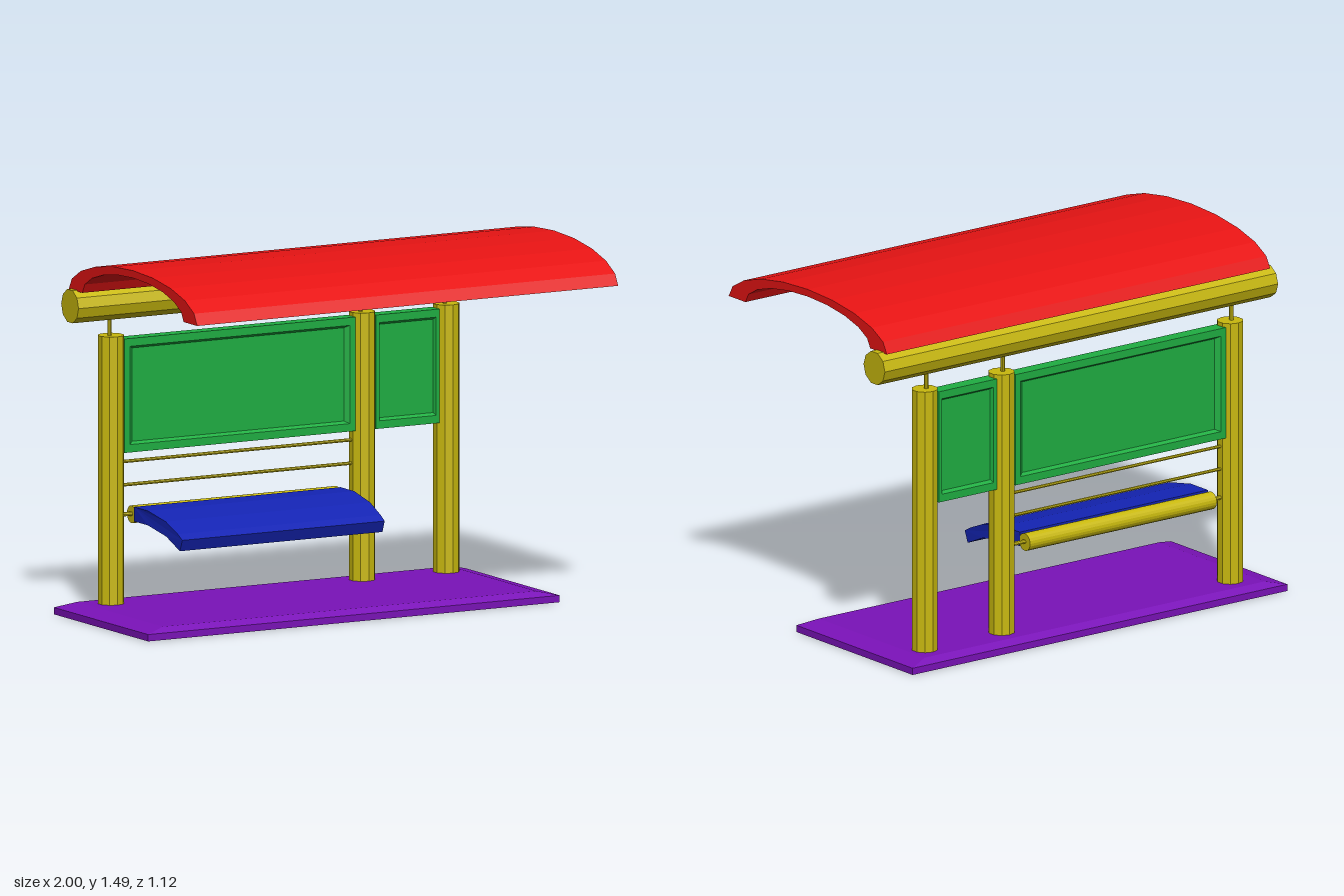
import * as THREE from 'three';

const paint = (color) => new THREE.MeshStandardMaterial({ color, flatShading: true });
const YELLOW = paint(0xc9b90e);
const RED = paint(0xe81414);
const GREEN = paint(0x1fae42);
const BLUE = paint(0x1424b4);
const PURPLE = paint(0x7a12b8);
const BACK = -0.43; // depth of the post row

// Solid through a series of rectangles [halfWidth, halfHeight, z]
function loftRects(rings) {
  const pos = [];
  const index = [];
  for (const [w, h, z] of rings) pos.push(-w, -h, z, w, -h, z, w, h, z, -w, h, z);
  for (let i = 0; i < rings.length - 1; i++) {
    for (let j = 0; j < 4; j++) {
      const a = i * 4 + j;
      const b = i * 4 + ((j + 1) % 4);
      index.push(a, b, b + 4, a, b + 4, a + 4);
    }
  }
  const e = (rings.length - 1) * 4;
  index.push(0, 2, 1, 0, 3, 2, e, e + 1, e + 2, e, e + 2, e + 3);
  const indexed = new THREE.BufferGeometry();
  indexed.setAttribute('position', new THREE.Float32BufferAttribute(pos, 3));
  indexed.setIndex(index);
  const geo = indexed.toNonIndexed();
  geo.computeVertexNormals();
  return geo;
}

// Profile of [z, y] points drawn out along x
function extrudeAlongX(points, x0, x1) {
  const shape = new THREE.Shape(points.map(([z, y]) => new THREE.Vector2(-z, y)));
  const geo = new THREE.ExtrudeGeometry(shape, { depth: x1 - x0, bevelEnabled: false });
  return geo.rotateY(Math.PI / 2).translate(x0, 0, 0);
}

// Cylinder between two values along x or y
function barX(r, x0, x1, y, sides) {
  return new THREE.CylinderGeometry(r, r, x1 - x0, sides)
    .rotateZ(Math.PI / 2).translate((x0 + x1) / 2, y, BACK);
}
function barY(r, x, y0, y1, sides) {
  return new THREE.CylinderGeometry(r, r, y1 - y0, sides).translate(x, (y0 + y1) / 2, BACK);
}

export function createModel() {
  const group = new THREE.Group();
  const add = (name, geo, material) => {
    const mesh = new THREE.Mesh(geo, material);
    mesh.name = name;
    group.add(mesh);
    return mesh;
  };

  // Base plate with sloped rim
  add('base', loftRects([[0.953, 0.38, 0], [0.953, 0.38, 0.028], [0.865, 0.345, 0.048]])
    .rotateX(-Math.PI / 2).translate(-0.047, 0, -0.18), PURPLE);

  // Posts with thin pins carrying the roof beam
  for (const x of [-0.81, 0.353, 0.743]) {
    add('post', barY(0.054, x, 0.04, 1.14, 10), YELLOW);
    add('beamPin', barY(0.009, x - 0.007, 1.13, 1.22, 8), YELLOW);
  }
  add('roofBeam', barX(0.07, -1, 1, 1.273, 10), YELLOW);

  // Arched canopy: half-elliptical shell
  const arch = [];
  const steps = 10;
  const arc = (a, b, t) => [0.043 + a * Math.cos(t), 1.335 + b * Math.sin(t)];
  for (let i = 0; i <= steps; i++) arch.push(arc(0.517, 0.15, (Math.PI * i) / steps));
  for (let i = steps; i >= 0; i--) arch.push(arc(0.408, 0.12, (Math.PI * i) / steps));
  add('canopy', extrudeAlongX(arch, -0.98, 0.97), RED);

  // Panels between the posts, recessed on both faces
  for (const [x0, x1, rim, slope] of [[-0.765, 0.305, 0.025, 0.02], [0.4, 0.695, 0.016, 0.006]]) {
    const w = (x1 - x0) / 2;
    const h = 0.232;
    const half = [[w, h, 0.03], [w - rim, h - 0.032, 0.03], [w - rim - slope, h - 0.042, 0.015]];
    const back = half.map(([a, b, z]) => [a, b, -z]).reverse();
    add('panel', loftRects([...back, ...half])
      .translate((x0 + x1) / 2, 0.892, BACK), GREEN);
  }

  // Rails and the roller on its axle
  for (const y of [0.62, 0.525]) add('rail', barX(0.007, -0.77, 0.31, y, 8), YELLOW);
  add('rollerAxle', barX(0.009, -0.77, 0.31, 0.405, 8), YELLOW);
  add('roller', barX(0.036, -0.715, 0.235, 0.402, 20), YELLOW);

  // Curved flap reaching forward from the roller, slightly narrower at its tip
  const flap = extrudeAlongX([
    [-0.4, 0.437], [-0.29, 0.437], [-0.154, 0.412], [-0.063, 0.374], [-0.028, 0.354],
    [-0.047, 0.307], [-0.15, 0.352], [-0.29, 0.378], [-0.4, 0.378],
  ], -0.478, 0.478);
  const p = flap.attributes.position;
  for (let i = 0; i < p.count; i++) {
    const t = Math.max(0, (p.getZ(i) + 0.29) / 0.26);
    p.setX(i, p.getX(i) * (1 - 0.02 * t));
  }
  flap.computeVertexNormals();
  add('flap', flap.translate(-0.242, 0, 0), BLUE);

  return group;
}
